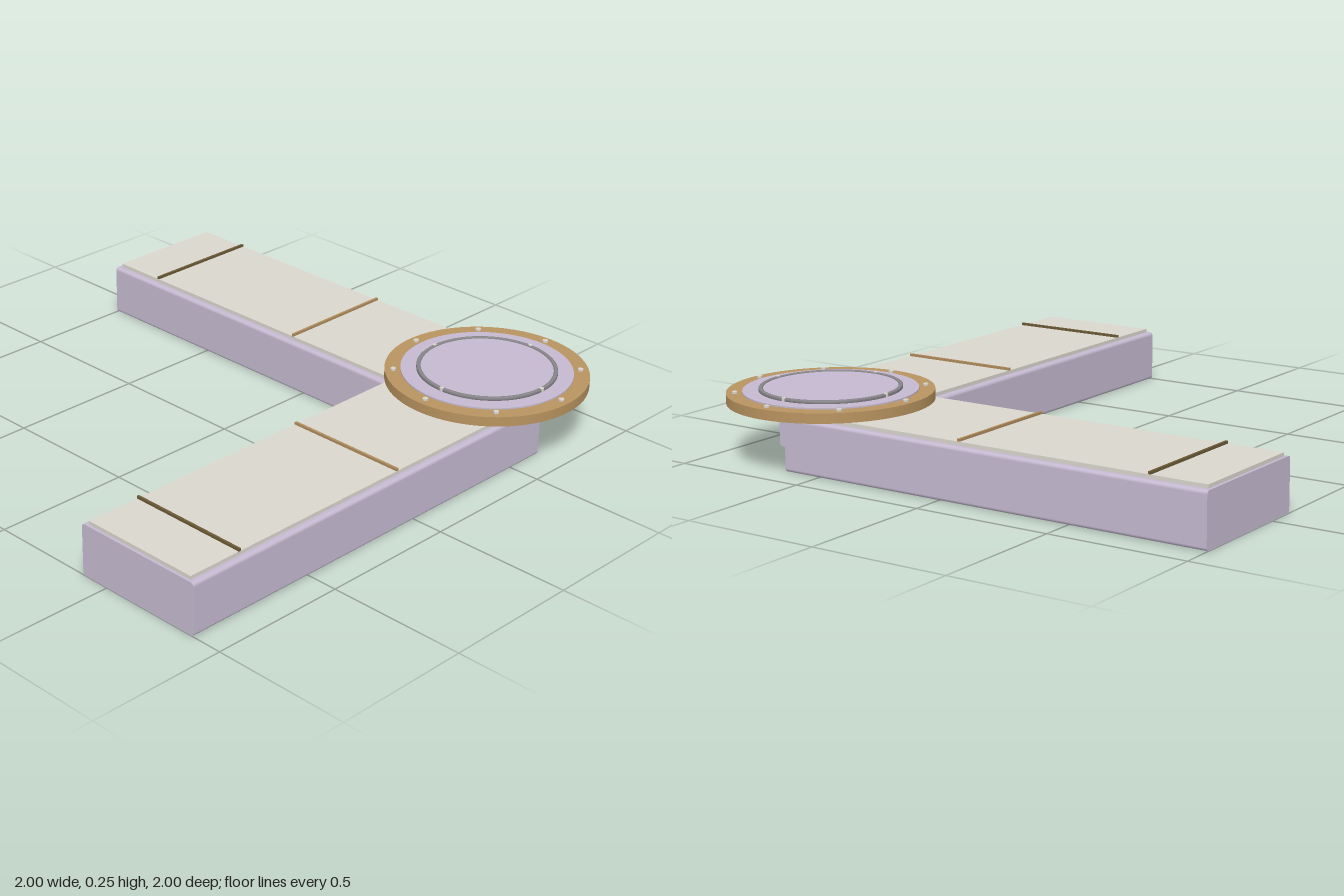
import * as THREE from 'three';

const mat = (color) => new THREE.MeshStandardMaterial({ color });
const lavender = mat(0xc4b9d0), brass = mat(0xb8935f), plate = mat(0xdad6ce);
const darkBrown = mat(0x6b5a35), tan = mat(0xb08d5c), grey = mat(0x88868a), pale = mat(0xd8d4cc);

const WIDTH = 0.5, HEIGHT = 0.187, HUB = 0.64, LENGTH = 1 + HUB;

function add(parent, name, geometry, material, x = 0, y = 0, z = 0) {
  const mesh = new THREE.Mesh(geometry, material);
  mesh.name = name;
  mesh.position.set(x, y, z);
  parent.add(mesh);
  return mesh;
}

// Rounded rectangle cross-section standing on y = 0
function section(w, h, r) {
  const s = new THREE.Shape(), x = w / 2;
  s.absarc(x - r, r, r, -Math.PI / 2, 0);
  s.absarc(x - r, h - r, r, 0, Math.PI / 2);
  s.absarc(-x + r, h - r, r, Math.PI / 2, Math.PI);
  s.absarc(-x + r, r, r, Math.PI, Math.PI * 1.5);
  s.closePath();
  return s;
}

// One arm running from the hub centre along +z
function makeArm(name) {
  const arm = new THREE.Group();
  arm.name = name;
  const body = new THREE.ExtrudeGeometry(section(WIDTH, HEIGHT, 0.012),
    { depth: LENGTH, bevelEnabled: false, curveSegments: 5 });
  add(arm, 'armBody', body, lavender);
  add(arm, 'topPlate', new THREE.BoxGeometry(0.455, 0.02, LENGTH - 0.01), plate,
    0, 0.19, (LENGTH - 0.01) / 2);
  // Thin raised strips across the plate
  for (const [z, material] of [[0.71, tan], [1.425, darkBrown]]) {
    add(arm, 'crossStrip', new THREE.BoxGeometry(0.455, 0.012, 0.009), material, 0, 0.203, z);
  }
  return arm;
}

// Ring of small pins set around the hub axis
function addPins(parent, name, count, radius, size, top, material) {
  for (let i = 0; i < count; i++) {
    const a = (i / count) * Math.PI * 2;
    add(parent, name, new THREE.CylinderGeometry(size, size, 0.02, 12), material,
      Math.cos(a) * radius, top - 0.01, Math.sin(a) * radius);
  }
}

function makeHub() {
  const hub = new THREE.Group();
  hub.name = 'roundHub';
  // Wide flange, raised face and central cap
  add(hub, 'flange', new THREE.CylinderGeometry(0.355, 0.355, 0.035, 96), brass, 0, 0.2185, 0);
  add(hub, 'hubFace', new THREE.CylinderGeometry(0.3, 0.3, 0.02, 96), lavender, 0, 0.231, 0);
  add(hub, 'hubCap', new THREE.CylinderGeometry(0.233, 0.233, 0.02, 96), lavender, 0, 0.238, 0);
  // Narrow grey ring around the cap
  const ring = [[0.23, 0.235], [0.245, 0.235], [0.245, 0.249], [0.242, 0.252], [0.233, 0.252], [0.23, 0.249], [0.23, 0.235]];
  const ringMesh = add(hub, 'capRing', new THREE.LatheGeometry(ring.map(([x, y]) => new THREE.Vector2(x, y)), 96), grey);
  ringMesh.material.flatShading = false;
  addPins(hub, 'ringPin', 4, 0.24, 0.008, 0.2535, pale);
  addPins(hub, 'flangeBolt', 8, 0.325, 0.01, 0.243, pale);
  return hub;
}

export function createModel() {
  const model = new THREE.Group();
  model.name = 'cornerAssembly';

  const frontArm = makeArm('frontArm');
  frontArm.position.set(HUB, 0, -HUB);

  // Second arm is the same piece turned towards -x
  const sideArm = makeArm('sideArm');
  sideArm.position.set(HUB, 0, -HUB - 0.003);
  sideArm.rotation.y = -Math.PI / 2;

  const hub = makeHub();
  hub.position.set(HUB + 0.005, 0, -HUB - 0.005);

  model.add(frontArm, sideArm, hub);
  return model;
}
